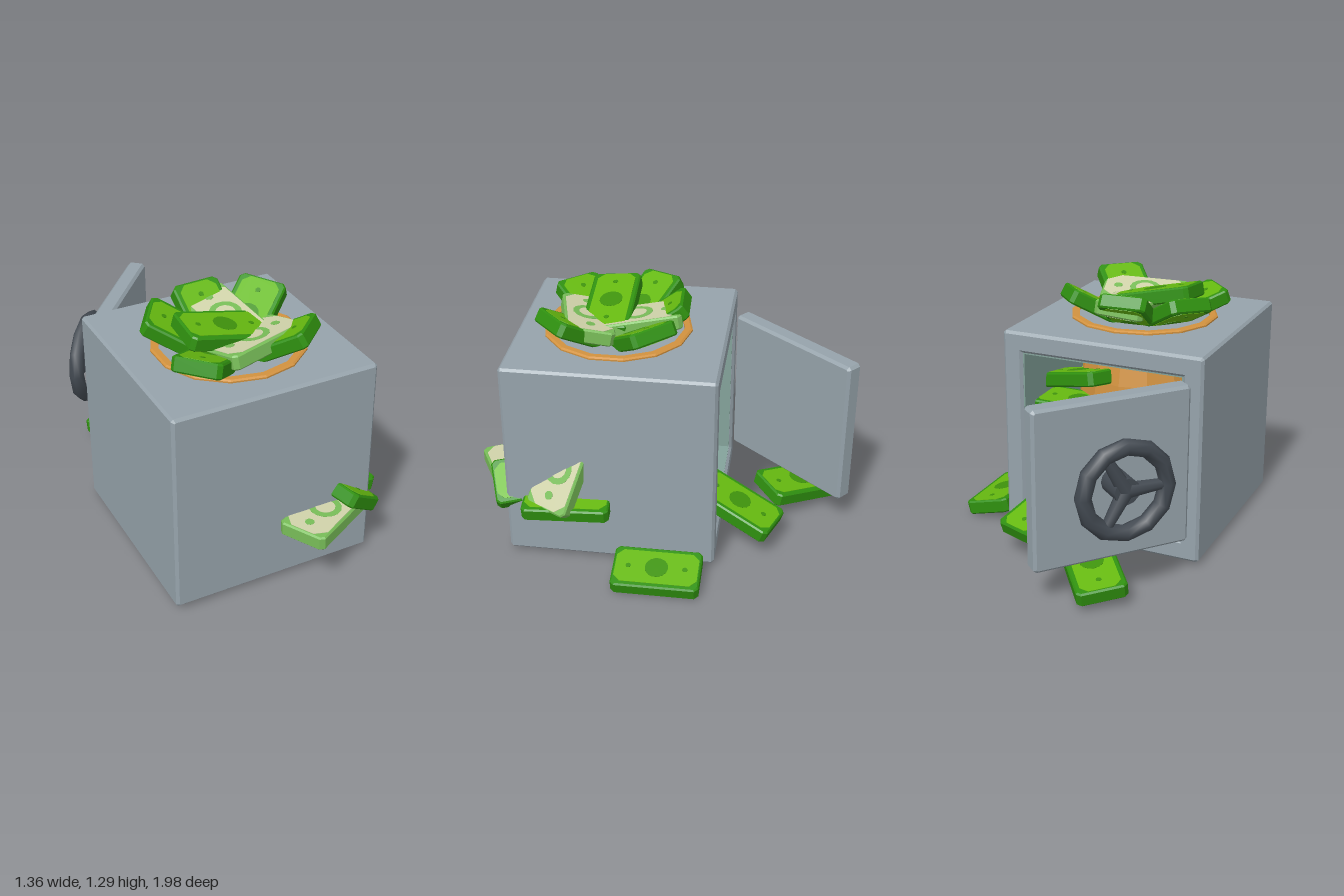
import * as THREE from 'three';

const mat = (name, color) => Object.assign(new THREE.MeshStandardMaterial({ color }), { name });
const steel = mat('steel', 0x96a3ab);
const lining = mat('lining', 0x84a39b);
const darkSteel = mat('dark steel', 0x434a52);
const copper = mat('copper', 0xd2923f);
const bandGreen = mat('bundle green', 0x2f900f);
const noteGreen = mat('note green', 0x66b910);
const spotGreen = mat('spot green', 0x3f930c);
const paleGreen = mat('pale green', 0x78bd58);
const cream = mat('cream', 0xd0d3aa);

function add(parent, name, geometry, material, x = 0, y = 0, z = 0) {
  const mesh = new THREE.Mesh(geometry, material);
  mesh.name = name;
  mesh.position.set(x, y, z);
  parent.add(mesh);
  return mesh;
}

function flat(geometry) {
  const g = geometry.index ? geometry.toNonIndexed() : geometry;
  g.computeVertexNormals();
  return g;
}

// Centred slab in the xy plane with cut corners and bevelled edges, optionally with a hole
function slab(w, h, d, bevel, cut, hole) {
  const a = w / 2 - bevel, b = h / 2 - bevel;
  const shape = new THREE.Shape([
    [a, -b + cut], [a, b - cut], [a - cut, b], [-a + cut, b],
    [-a, b - cut], [-a, -b + cut], [-a + cut, -b], [a - cut, -b],
  ].map(([x, y]) => new THREE.Vector2(x, y)));
  if (hole) {
    const r = hole / 2 + bevel;
    shape.holes.push(new THREE.Path([[-r, -r], [-r, r], [r, r], [r, -r]].map(([x, y]) => new THREE.Vector2(x, y))));
  }
  return new THREE.ExtrudeGeometry(shape, {
    depth: d - 2 * bevel, bevelEnabled: bevel > 0, bevelThickness: bevel, bevelSize: bevel, bevelSegments: 1,
  }).translate(0, 0, -d / 2 + bevel);
}

// Bundle parts: width on x, thickness on y, length on z; printed on both faces
const W = 0.25, T = 0.075, L = 0.45;
const lying = (w, l, t, bevel, cut) => slab(w, l, t, bevel, cut).rotateX(Math.PI / 2);
const disc = (r, t, sides = 14) => new THREE.CylinderGeometry(r, r, t, sides);
const brickGeo = lying(W, L, T, 0.008, 0.016);
const printGeo = lying(0.2, 0.425, T + 0.004, 0, 0.035);
const palePrintGeo = lying(0.225, 0.425, T + 0.004, 0, 0.05);
const spotGeo = disc(0.06, T + 0.007);
const ringGeo = disc(0.082, T + 0.007);
const ringCentreGeo = disc(0.05, T + 0.01);
const dotGeo = disc(0.014, T + 0.007, 8);
const bigDotGeo = disc(0.024, T + 0.007, 8);

function bundle(parent, name, pos, rot, pale = false) {
  const g = new THREE.Group();
  g.name = name;
  add(g, 'bundleSide', brickGeo, pale ? paleGreen : bandGreen);
  add(g, 'notePrint', pale ? palePrintGeo : printGeo, pale ? cream : noteGreen);
  const ink = pale ? paleGreen : spotGreen;
  add(g, 'noteSeal', pale ? ringGeo : spotGeo, ink);
  if (pale) add(g, 'sealCentre', ringCentreGeo, cream);
  for (const s of [-1, 1]) add(g, 'noteDot', pale ? bigDotGeo : dotGeo, ink, 0, 0, s * 0.145);
  g.position.set(...pos);
  g.rotation.set(rot[0], rot[1], rot[2], 'YXZ');
  parent.add(g);
  return g;
}

function buildSafe(root) {
  const safe = new THREE.Group();
  safe.name = 'safeBody';
  safe.position.set(-0.145, 0.5625, 0);
  root.add(safe);
  add(safe, 'sideWalls', slab(1.07, 1.075, 1.02, 0.014, 0.004, 0.86), steel, 0, 0, 0.19);
  add(safe, 'frontWall', slab(1.07, 1.075, 0.11, 0.014, 0.004), steel, 0, 0, 0.705);
  // Inner lining, open towards the back
  for (const s of [-1, 1]) {
    add(safe, 'liningSide', new THREE.BoxGeometry(0.008, 0.86, 0.95), lining, s * 0.427, 0, 0.17);
    add(safe, 'liningLevel', new THREE.BoxGeometry(0.86, 0.008, 0.95), lining, 0, s * 0.427, 0.17);
  }
  add(safe, 'liningFront', new THREE.BoxGeometry(0.86, 0.86, 0.008), lining, 0, 0, 0.646);
}

function buildDoor(root) {
  const door = new THREE.Group();
  door.name = 'door';
  door.position.set(-0.352, 0.58, -0.663);
  door.rotation.y = 0.87;
  root.add(door);
  add(door, 'doorPanel', slab(0.81, 0.81, 0.095, 0.014, 0.006), steel);

  // Hand wheel on the outer face
  const wheel = new THREE.Group();
  wheel.name = 'handWheel';
  wheel.position.z = -0.175;
  door.add(wheel);
  add(wheel, 'wheelRim', new THREE.TorusGeometry(0.215, 0.042, 8, 12), darkSteel);
  add(wheel, 'wheelHub', disc(0.065, 0.16, 12).rotateX(Math.PI / 2), darkSteel, 0, 0, 0.06);
  for (let i = 0; i < 3; i++) {
    const spoke = new THREE.CylinderGeometry(0.026, 0.04, 0.2, 8).translate(0, 0.1, 0);
    add(wheel, 'wheelSpoke', spoke, darkSteel).rotation.z = Math.PI / 2 + i * Math.PI * 2 / 3;
  }
}

function buildPot(root) {
  // Copper pot inside, and its rim round the opening on top
  const lathe = pts => flat(new THREE.LatheGeometry(pts.map(p => new THREE.Vector2(...p)), 14));
  add(root, 'pot', lathe([[0, 0.15], [0.26, 0.16], [0.33, 0.35], [0.35, 0.6], [0.33, 0.8], [0.31, 0.9], [0.28, 0.99]]),
    copper, -0.14, 0, 0.25);
  add(root, 'potRim', lathe([[0.385, 1.09], [0.385, 1.108], [0.375, 1.114], [0.345, 1.114], [0.345, 1.09]]),
    copper, -0.14, 0, 0.25);
}

function buildMoney(root) {
  // Ring of bundles on top, outer ends raised: angle, distance, height, tilt, roll
  const petals = [
    [3.2, 0.17, 1.125, 0.62, 0],
    [2.2, 0.21, 1.13, 0.5, 0.1],
    [-2.1, 0.2, 1.13, 0.5, -0.1],
    [-0.83, 0.22, 1.115, 0.35, 0],
    [0.75, 0.22, 1.135, 0.52, 0],
  ];
  for (const [a, r, y, tilt, roll] of petals) {
    bundle(root, 'heapBundle', [-0.14 + r * Math.sin(a), y, 0.25 + r * Math.cos(a)], [-tilt, a, roll]);
  }
  bundle(root, 'heapMiddleBundle', [-0.19, 1.195, 0.29], [0.22, Math.PI / 2, 0.1]);
  bundle(root, 'heapPaleBundle', [-0.08, 1.16, 0.4], [-0.05, 1.82, -0.22], true);
  bundle(root, 'heapPaleBackBundle', [-0.1, 1.165, 0.14], [0.15, 0.15, 0.1], true);

  // Stacks behind the door opening
  for (const x of [-0.34, 0.08]) {
    for (let i = 0; i < 7; i++) {
      bundle(root, 'stackedBundle', [x, 0.18 + i * 0.081, -0.08], [0, Math.PI / 2 + (i % 2 ? 0.02 : -0.02), 0]);
    }
  }
  bundle(root, 'looseBundle', [0.12, 0.79, 0.0], [0.25, 1.2, 0.1]);

  // Spilled out at the back and beside the safe
  bundle(root, 'backBundle', [0.11, 0.215, -0.415], [0.33, 2.785, 0]);
  bundle(root, 'doorBundle', [-0.29, 0.115, -0.72], [0.17, -2.47, 0.12]);
  bundle(root, 'groundBundle', [0.55, 0.067, -0.045], [0, 0, -0.25]);

  // Bursting through the front and side walls
  bundle(root, 'frontPaleBundle', [0.12, 0.33, 0.78], [0, 2.06, 0], true);
  bundle(root, 'frontBundle', [0.25, 0.385, 0.63], [0.1, 0.3, -0.58]);
  bundle(root, 'sideBundle', [0.36, 0.335, 0.445], [0.03, 0.03, -0.15]);
  const side = bundle(root, 'sidePaleBundle', [0.345, 0.515, 0.468], [0, 0, 0], true);
  const z = new THREE.Vector3(-0.47, 0.84, -0.28).normalize();
  const y = z.clone().cross(new THREE.Vector3(-0.53, 0.14, 0.84)).normalize();
  side.quaternion.setFromRotationMatrix(new THREE.Matrix4().makeBasis(y.clone().cross(z), y, z));
}

export function createModel() {
  const root = new THREE.Group();
  root.name = 'overflowingSafe';
  buildSafe(root);
  buildDoor(root);
  buildPot(root);
  buildMoney(root);
  return root;
}
